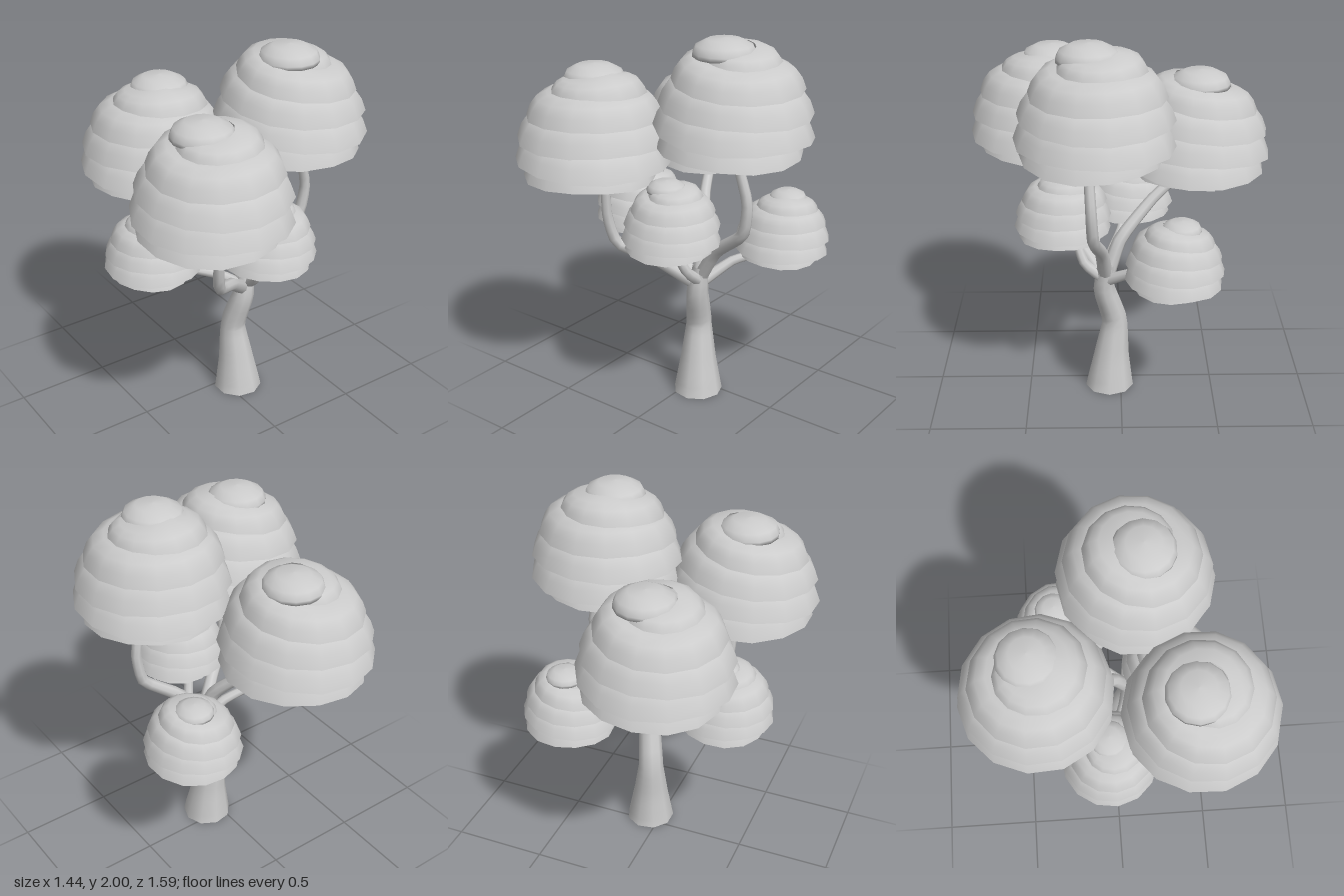
import * as THREE from 'three';
import { mergeGeometries } from 'three/addons/utils/BufferGeometryUtils.js';

const V = (x, y, z) => new THREE.Vector3(x, y, z);
const material = new THREE.MeshStandardMaterial({ color: 0xcccccc, side: THREE.DoubleSide });

// Tapered tube through points, radius interpolated between the given radii
function limb(name, points, radii, sides) {
  const curve = new THREE.CatmullRomCurve3(points, false, 'catmullrom', 0.25);
  const rings = (points.length - 1) * 4;
  const geo = new THREE.TubeGeometry(curve, rings, 1, sides);
  const pos = geo.attributes.position;
  for (let i = 0; i < pos.count; i++) {
    const t = Math.floor(i / (sides + 1)) / rings;
    const k = Math.min(t * (radii.length - 1), radii.length - 1.0001);
    const f = Math.floor(k);
    const r = THREE.MathUtils.lerp(radii[f], radii[f + 1], k - f);
    const c = curve.getPointAt(t);
    const p = V(0, 0, 0).fromBufferAttribute(pos, i).sub(c).multiplyScalar(r).add(c);
    pos.setXYZ(i, p.x, t === 0 && c.y < 0.01 ? 0 : p.y, p.z);
  }
  geo.computeVertexNormals();
  // Give the two sides of the tube seam the same normal
  const n = geo.attributes.normal;
  for (let i = 0; i <= rings; i++) {
    const a = i * (sides + 1), b = a + sides;
    const m = V(0, 0, 0).fromBufferAttribute(n, a).add(V(0, 0, 0).fromBufferAttribute(n, b)).normalize();
    n.setXYZ(a, m.x, m.y, m.z);
    n.setXYZ(b, m.x, m.y, m.z);
  }
  const mesh = new THREE.Mesh(geo, material);
  mesh.name = name;
  return mesh;
}

// Surface through rows of points
function loft(rows) {
  const w = rows[0].length, index = [];
  for (let i = 0; i < rows.length - 1; i++)
    for (let j = 0; j < w - 1; j++) {
      const a = i * w + j, b = a + w;
      index.push(a, a + 1, b, b, a + 1, b + 1);
    }
  const geo = new THREE.BufferGeometry().setFromPoints(rows.flat());
  geo.setIndex(index);
  geo.computeVertexNormals();
  return geo;
}

// Spiral leaf skirt: a drooping band winding up around a hollow core
function spiralFoliage() {
  const TURNS = 5, SEG = 14;
  // Rim radius and height, one point per turn
  const rim = new THREE.CatmullRomCurve3([
    V(0.29, 0.01, 0), V(0.378, 0.055, 0), V(0.394, 0.165, 0),
    V(0.368, 0.285, 0), V(0.305, 0.395, 0), V(0.16, 0.5, 0),
  ]);
  const outer = [], under = [];
  for (let i = 0; i <= TURNS * SEG; i++) {
    const t = i / (TURNS * SEG), a = t * TURNS * Math.PI * 2;
    const { x: R, y } = rim.getPoint(t);
    const sway = 0.01 * Math.sin(a * 2.6) * (1 - t) + 0.035 * t * Math.sin(a) * R / 0.39;
    const h = 0.165 * Math.pow(R / 0.39, 1.1);
    const at = (k, up) => V(Math.cos(a) * R * k, y + sway + h * up, Math.sin(a) * R * k);
    outer.push([at(1, 0), at(0.94, 0.38), at(0.84, 0.7), at(0.68, 0.9), at(0.42, 1)]);
    under.push([at(0.55, 0.4), at(0.8, 0.25), at(1, 0)]);
  }
  return mergeGeometries([loft(outer), loft(under)]);
}

// Domed knob closing the top of the spiral
function crownCap() {
  const pts = [[0, 0.485], [0.12, 0.485], [0.155, 0.5], [0.155, 0.52], [0.138, 0.555], [0.085, 0.583], [0, 0.59]];
  return new THREE.LatheGeometry(pts.map(([x, y]) => new THREE.Vector2(x, y)), 14).translate(0.05, 0, 0);
}

export function createModel() {
  const tree = new THREE.Group();
  tree.name = 'tree';

  tree.add(limb('trunk',
    [V(0.065, 0, 0.062), V(0.058, 0.2, 0.05), V(0.05, 0.4, 0.033), V(0.08, 0.6, 0.088), V(0.1, 0.75, 0.08)],
    [0.132, 0.097, 0.07, 0.062, 0.045], 9));

  // Branches: base radius, then points
  const branches = {
    frontLeftBranch: [0.036, [0.09, 0.68, 0.08], [0.21, 0.87, 0.1], [0.4, 1.02, 0.14], [0.43, 1.2, 0.15], [0.37, 1.42, 0.16], [0.34, 1.6, 0.14]],
    frontRightBranch: [0.036, [0.08, 0.64, 0.08], [-0.09, 0.79, 0.22], [-0.25, 0.88, 0.34], [-0.28, 1.04, 0.38], [-0.28, 1.25, 0.39], [-0.31, 1.42, 0.4]],
    backBranch: [0.038, [0.09, 0.66, 0.08], [0.05, 0.88, 0], [-0.06, 1.06, -0.17], [-0.14, 1.2, -0.34], [-0.16, 1.35, -0.39]],
    lowLeftBranch: [0.03, [0.1, 0.66, 0.07], [0.19, 0.75, -0.08], [0.3, 0.785, -0.2], [0.37, 0.82, -0.26]],
    lowRightBranch: [0.03, [0.08, 0.65, 0.08], [-0.05, 0.75, 0.05], [-0.2, 0.81, 0], [-0.36, 0.87, -0.03]],
    lowFrontBranch: [0.03, [0.1, 0.66, 0.08], [0.09, 0.75, 0.19], [0.05, 0.88, 0.24], [0.07, 1.04, 0.3]],
  };
  for (const [name, [r, ...pts]] of Object.entries(branches))
    tree.add(limb(name, pts.map((p) => V(...p)), [r * 1.1, r * 0.9, r * 0.75, r * 0.66], 8));

  // Foliage crowns: x, base y, z, scale, turn
  const crowns = {
    frontLeftCrown: [0.33, 1.41, 0.128, 1, -2.5],
    frontRightCrown: [-0.335, 1.235, 0.405, 1, 2],
    backCrown: [-0.16, 1.162, -0.395, 1, 0.3],
    lowLeftCrown: [0.375, 0.755, -0.265, 0.64, 1.2],
    lowRightCrown: [-0.4, 0.83, -0.045, 0.64, 0.1],
    lowFrontCrown: [0.075, 0.9, 0.3, 0.64, 3],
  };
  const skirt = spiralFoliage(), cap = crownCap();
  for (const [name, [x, y, z, s, turn]] of Object.entries(crowns)) {
    const crown = new THREE.Group();
    crown.name = name;
    const skirtMesh = new THREE.Mesh(skirt, material), capMesh = new THREE.Mesh(cap, material);
    skirtMesh.name = 'leafSpiral';
    capMesh.name = 'crownCap';
    crown.add(skirtMesh, capMesh);
    crown.position.set(x, y, z);
    crown.scale.setScalar(s);
    crown.rotation.y = turn;
    tree.add(crown);
  }
  return tree;
}
